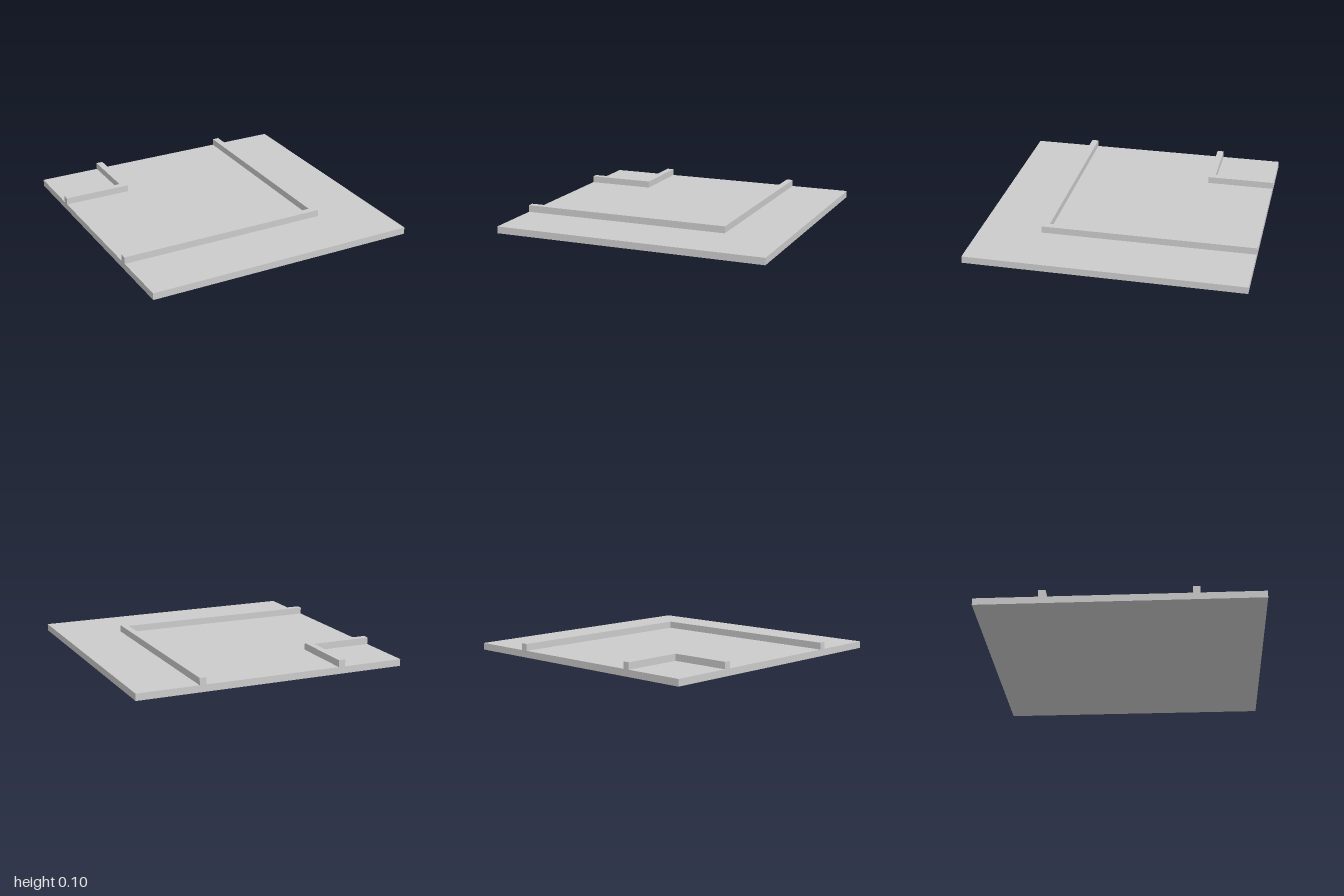
import * as THREE from 'three';

const SLAB = 0.05; // slab thickness
const RAIL = 0.05; // rail width and height

// L-shaped rail from the left edge to the back edge, outer corner at (c, c) in x and z
function cornerRail(name, c, material) {
  const i = c - RAIL;
  const outline = [[-1, -c], [c, -c], [c, 1], [i, 1], [i, -i], [-1, -i]];
  const shape = new THREE.Shape(outline.map(([x, y]) => new THREE.Vector2(x, y)));
  const geometry = new THREE.ExtrudeGeometry(shape, { depth: RAIL, bevelEnabled: false });
  geometry.rotateX(-Math.PI / 2); // shape y becomes -z, depth becomes y
  const mesh = new THREE.Mesh(geometry, material);
  mesh.name = name;
  mesh.position.y = SLAB;
  return mesh;
}

export function createModel() {
  const group = new THREE.Group();
  group.name = 'cornerTile';
  const material = new THREE.MeshStandardMaterial({ color: 0xcccccc, flatShading: true });

  // Square ground slab
  const slab = new THREE.Mesh(new THREE.BoxGeometry(2, SLAB, 2), material);
  slab.name = 'baseSlab';
  slab.position.y = SLAB / 2;
  group.add(slab);

  // Raised kerbs on both sides of the turning lane
  group.add(cornerRail('outerKerb', 0.55, material));
  group.add(cornerRail('innerKerb', -0.5, material));
  return group;
}
